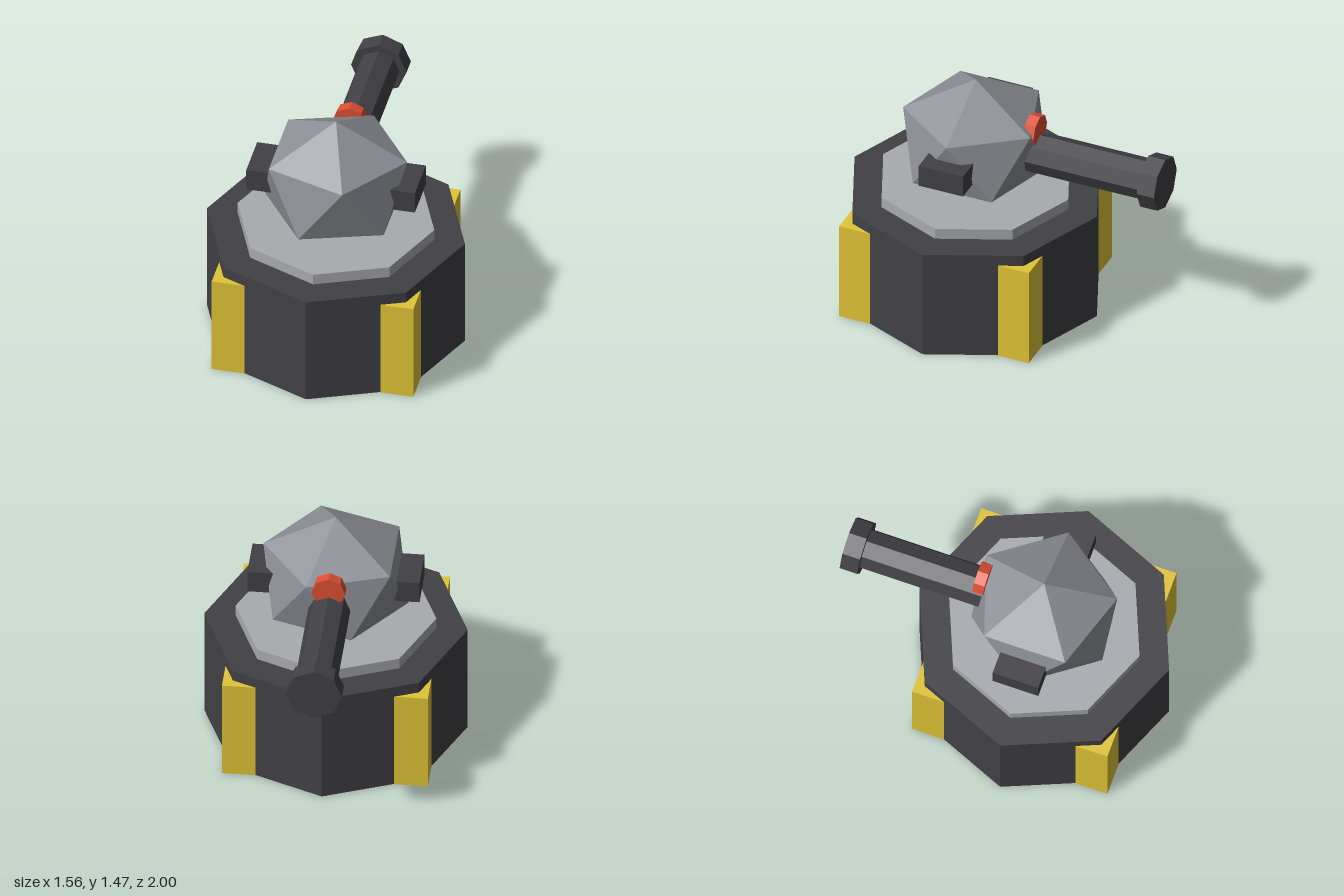
import * as THREE from 'three';
import { ConvexGeometry } from 'three/addons/geometries/ConvexGeometry.js';

const CZ = 0.22; // z of the turret's vertical axis
const AXIS_Y = 1.066; // height of the gun's axis

const mat = (color) => new THREE.MeshStandardMaterial({ color, flatShading: true });

export function createModel() {
  const model = new THREE.Group();
  const dark = mat(0x414045);
  const plate = mat(0xa8abaf);
  const steel = mat(0x8d9097);
  const yellow = mat(0xe0c436);
  const red = mat(0xdd4f33);

  function add(name, geometry, material, x, y, z) {
    const mesh = new THREE.Mesh(geometry, material);
    mesh.name = name;
    mesh.position.set(x, y, z);
    model.add(mesh);
    return mesh;
  }

  // Upright octagonal disc between two heights
  const disc = (name, r, y0, y1, material) =>
    add(name, new THREE.CylinderGeometry(r, r, y1 - y0, 8), material, 0, (y0 + y1) / 2, CZ);

  // Octagonal rod lying along z
  const rod = (name, r, z0, z1, y, material) =>
    add(name, new THREE.CylinderGeometry(r, r, Math.abs(z1 - z0), 8).rotateX(Math.PI / 2),
      material, 0, y, (z0 + z1) / 2);

  // Base and turntable
  disc('base', 0.78, 0.002, 0.71, dark);
  disc('turntable', 0.595, 0.71, 0.78, plate);

  // Corner posts and side pods
  for (const sx of [-1, 1]) {
    for (const sz of [-1, 1]) {
      add('cornerPost', new THREE.BoxGeometry(0.22, 0.64, 0.22), yellow, sx * 0.5, 0.32, CZ + sz * 0.5);
    }
    add('sidePod', new THREE.BoxGeometry(0.24, 0.14, 0.285), dark, sx * 0.39, AXIS_Y, CZ);
  }

  // Turret head: slightly squashed icosahedron standing on a vertex
  const points = [new THREE.Vector3(0, 0.408, 0), new THREE.Vector3(0, -0.408, 0)];
  for (let i = 0; i < 10; i++) {
    const a = (i * Math.PI) / 5;
    points.push(new THREE.Vector3(0.43 * Math.cos(a), i % 2 ? -0.183 : 0.183, 0.43 * Math.sin(a)));
  }
  add('turretHead', new ConvexGeometry(points), steel, 0, AXIS_Y, CZ);

  // Gun pointing to the back, with its sight
  rod('barrel', 0.125, 0, -0.95, AXIS_Y, dark);
  rod('muzzle', 0.168, -0.89, -1, AXIS_Y, dark);
  rod('sight', 0.1, -0.128, -0.195, 1.22, red);

  return model;
}
